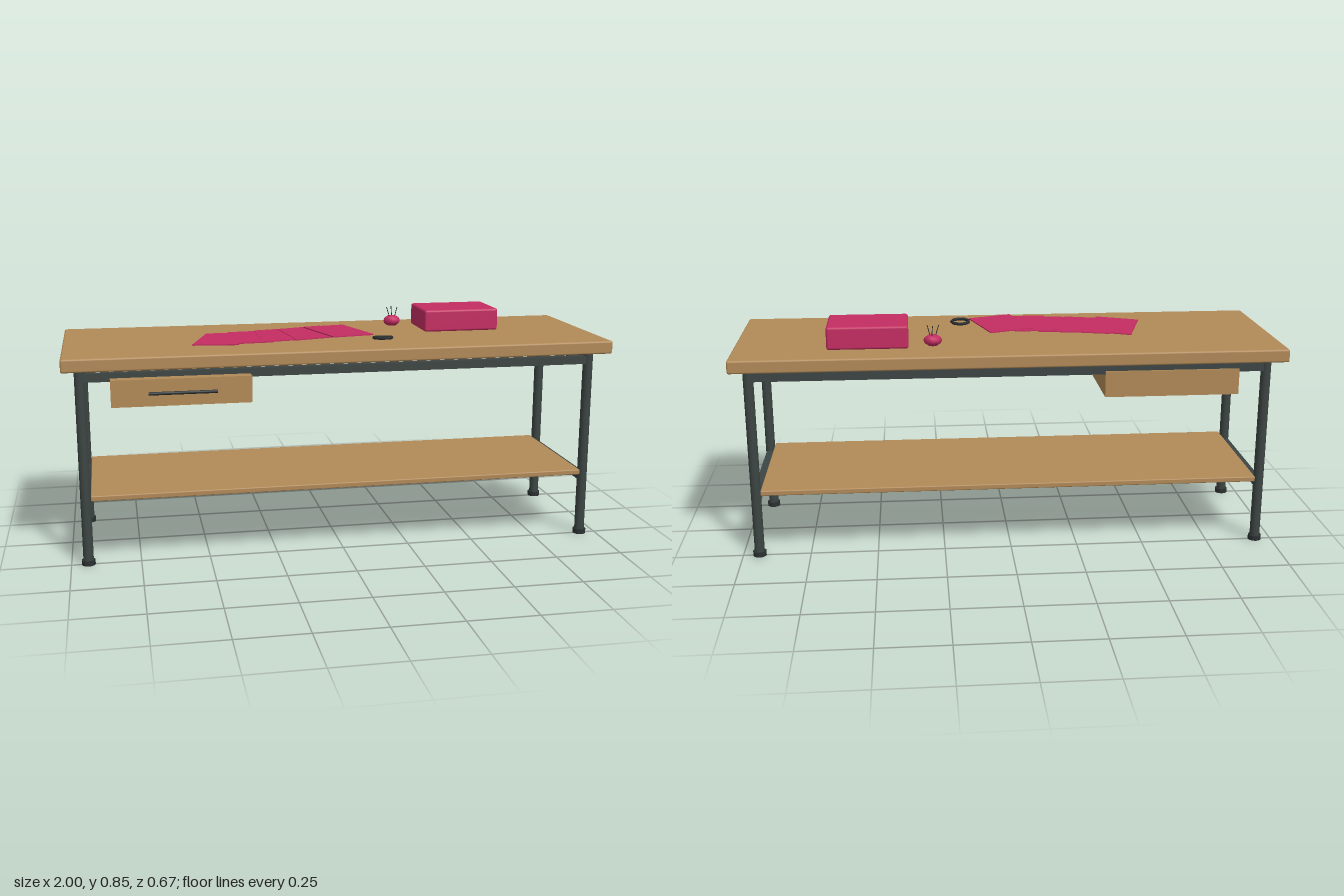
import * as THREE from 'three';
import { RoundedBoxGeometry } from 'three/addons/geometries/RoundedBoxGeometry.js';

export function createModel() {
  const root = new THREE.Group();
  root.name = 'workbench';
  const mat = (name, color) => {
    const m = new THREE.MeshStandardMaterial({ color });
    m.name = name;
    return m;
  };
  const wood = mat('oak wood', 0xb28a58);
  const steel = mat('dark steel', 0x3c4543);
  const dark = mat('black rubber', 0x2b3030);
  const pink = mat('pink fabric', 0xc42d62);

  const add = (name, geo, material, x, y, z, parent = root) => {
    const m = new THREE.Mesh(geo, material);
    m.name = name;
    m.position.set(x, y, z);
    parent.add(m);
    return m;
  };
  const box = (w, h, d) => new THREE.BoxGeometry(w, h, d);
  const rounded = (w, h, d, r) => new RoundedBoxGeometry(w, h, d, 2, r);

  // Wooden top, shelf and drawer
  add('tableTop', rounded(2, 0.048, 0.666, 0.007), wood, 0, 0.744, 0);
  add('shelf', rounded(1.84, 0.02, 0.548, 0.004), wood, 0, 0.252, 0.001);
  add('drawer', box(0.494, 0.096, 0.58), wood, -0.588, 0.636, 0.018);
  const handle = add('drawerHandle', new THREE.CylinderGeometry(0.006, 0.006, 0.24, 12), dark, -0.585, 0.636, 0.323);
  handle.rotation.z = Math.PI / 2;

  // Round legs with feet, and the rails joining them
  const legX = 0.939, legZ = 0.251;
  for (const sx of [-1, 1]) {
    for (const sz of [-1, 1]) {
      add('leg', new THREE.CylinderGeometry(0.0185, 0.0185, 0.702, 20), steel, sx * legX, 0.369, sz * legZ);
      add('foot', new THREE.CylinderGeometry(0.0245, 0.0245, 0.018, 16), dark, sx * legX, 0.009, sz * legZ);
    }
    add('upperSideRail', box(0.028, 0.032, 2 * legZ), steel, sx * legX, 0.686, 0);
    add('lowerSideRail', box(0.028, 0.026, 2 * legZ), steel, sx * legX, 0.228, 0);
  }
  for (const sz of [-1, 1]) {
    add('longRail', box(2 * legX, 0.03, 0.028), steel, 0, 0.687, sz * legZ);
  }

  // Fan of fabric swatches: x, y, z, turn, tilt
  const fan = new THREE.Group();
  fan.name = 'fabricSwatches';
  root.add(fan);
  [
    [-0.422, 0.776, 0.064, -0.29, 0.03],
    [-0.318, 0.780, 0.064, -0.12, 0.035],
    [-0.203, 0.785, 0.064, 0, 0.035],
    [-0.098, 0.790, 0.068, 0.13, 0.03],
    [0.016, 0.793, 0.062, 0.28, -0.02],
  ].forEach(([x, y, z, turn, tilt]) => {
    const s = add('swatch', box(0.168, 0.004, 0.25), pink, x, y, z, fan);
    s.rotation.set(0, turn, tilt);
  });
  // Ring that binds the fan
  const ring = add('swatchRing', new THREE.TorusGeometry(0.034, 0.006, 6, 9), dark, 0.165, 0.78, 0.165);
  ring.rotation.x = Math.PI / 2 - 0.08;

  // Pincushion with pins
  const cushion = new THREE.Group();
  cushion.name = 'pincushion';
  cushion.position.set(0.28, 0.79, -0.172);
  root.add(cushion);
  const ball = add('cushionBall', new THREE.SphereGeometry(0.034, 8, 6), pink, 0, 0, 0, cushion);
  ball.scale.y = 0.65;
  [[-0.016, 0.006, 0.3], [0.014, 0.008, -0.25], [0.002, -0.014, 0.08]].forEach(([x, z, lean]) => {
    const pin = add('pin', new THREE.CylinderGeometry(0.0016, 0.0016, 0.044, 6), dark, x, 0.033, z, cushion);
    pin.rotation.z = lean;
  });

  // Soft storage box
  add('storageBox', rounded(0.294, 0.084, 0.215, 0.009), pink, 0.515, 0.81, -0.102);

  return root;
}
